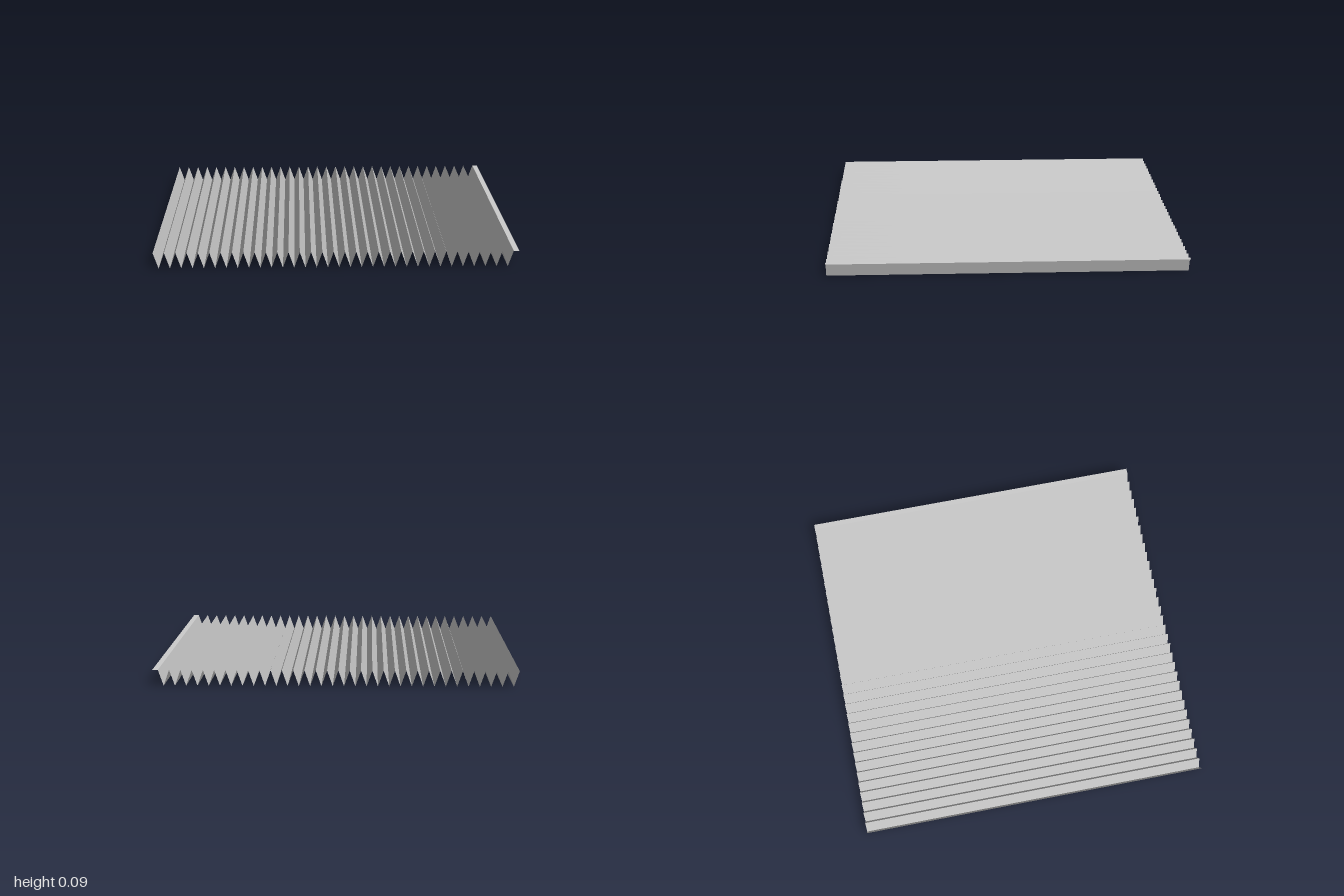
import * as THREE from 'three';

const HEIGHT = 0.087;   // fold depth
const FOLDS = 64;       // sloping strips, followed by one flat lip
const STEP = 2 / (FOLDS + 1);

// Open sheet swept along z from an [x, y] cross-section
function sweptSheet(profile) {
  const positions = [];
  for (let i = 0; i < profile.length - 1; i++) {
    const [x0, y0] = profile[i];
    const [x1, y1] = profile[i + 1];
    positions.push(x0, y0, 1, x1, y1, 1, x1, y1, -1);
    positions.push(x0, y0, 1, x1, y1, -1, x0, y0, -1);
  }
  const geometry = new THREE.BufferGeometry();
  geometry.setAttribute('position', new THREE.Float32BufferAttribute(positions, 3));
  geometry.computeVertexNormals();
  return geometry;
}

export function createModel() {
  const group = new THREE.Group();
  group.name = 'corrugatedSheet';
  const material = new THREE.MeshStandardMaterial({
    color: 0xcccccc, flatShading: true, side: THREE.DoubleSide,
  });

  // Zigzag folds, starting and ending on a crest
  const zigzag = [];
  for (let i = 0; i <= FOLDS; i++) zigzag.push([-1 + i * STEP, i % 2 ? 0 : HEIGHT]);
  const folds = new THREE.Mesh(sweptSheet(zigzag), material);
  folds.name = 'foldedPanel';

  // Flat overlap lip along the +x edge
  const lip = new THREE.Mesh(sweptSheet([[1 - STEP, HEIGHT], [1, HEIGHT]]), material);
  lip.name = 'edgeLip';

  group.add(folds, lip);
  return group;
}
